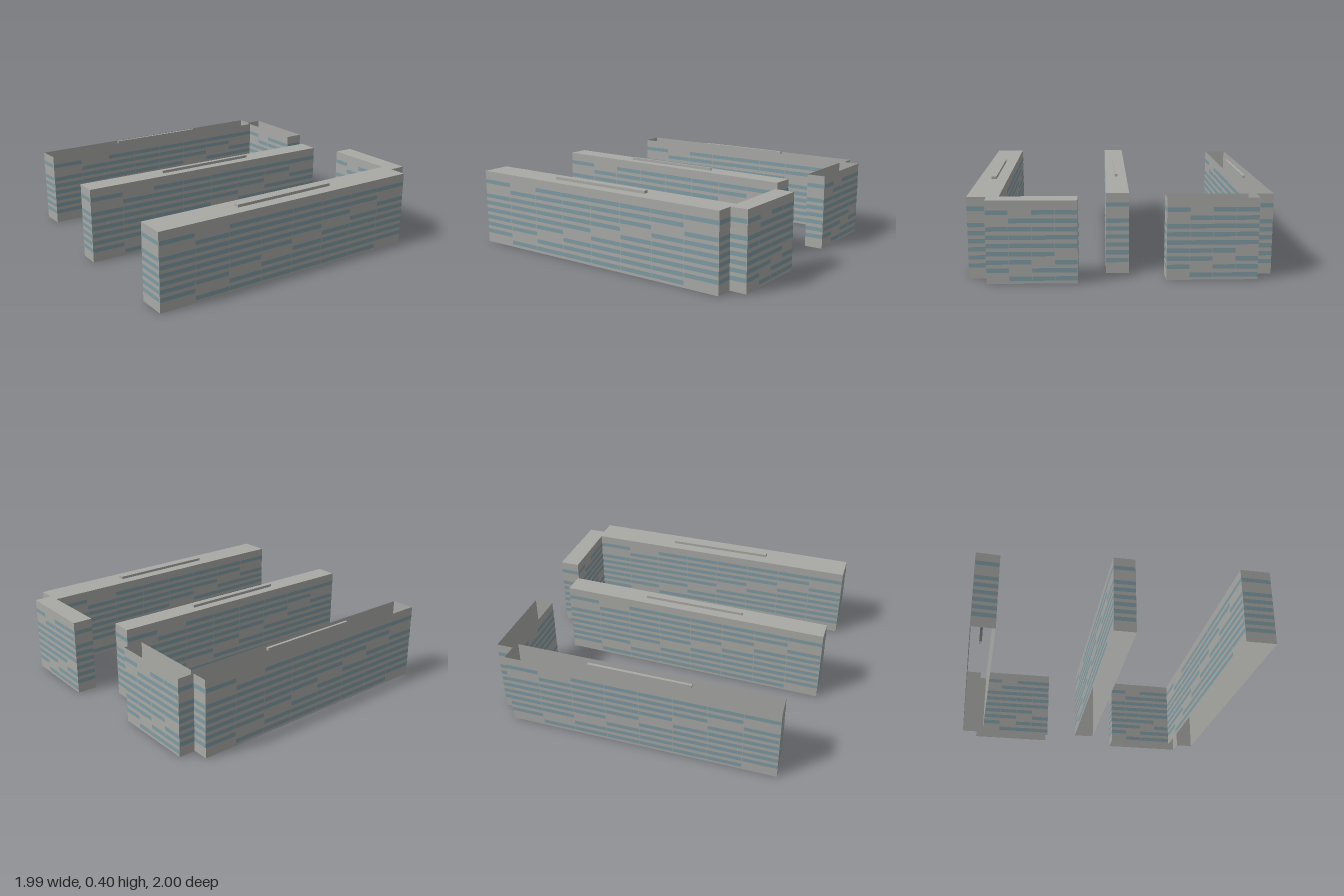
import * as THREE from 'three';
import { mergeGeometries } from 'three/addons/utils/BufferGeometryUtils.js';

const WALL_H = 0.39, BAR_H = 0.014, ROWS = 9, PITCH = 0.0388, STRIP_H = 0.021;

const concrete = new THREE.MeshStandardMaterial({ color: 0xa9a9a6, side: THREE.DoubleSide });
concrete.name = 'concrete';
const glass = new THREE.MeshStandardMaterial({ color: 0x809ba3 });
glass.name = 'window glass';

// Upright panel on the edge p-q: from fraction a to b along it, facing outward
function panel(p, q, a, b, y, h, out = 0) {
  const dx = q[0] - p[0], dz = q[1] - p[1], len = Math.hypot(dx, dz), m = (a + b) / 2;
  return new THREE.PlaneGeometry(len * (b - a), h)
    .rotateY(Math.atan2(-dz, dx))
    .translate(p[0] + dx * m - (dz / len) * out, y + h / 2, p[1] + dz * m + (dx / len) * out);
}

const edges = (pts) => pts.map((p, i) => [p, pts[(i + 1) % pts.length]]);

function named(name, geometry, material) {
  const mesh = new THREE.Mesh(geometry, material);
  mesh.name = name;
  return mesh;
}

// Open-bottomed shell around a footprint
const shell = (pts, y, h) => mergeGeometries(edges(pts).map(([p, q]) => panel(p, q, 0, 1, y, h)));

function slab(pts, y) {
  const shape = new THREE.Shape(pts.map(([x, z]) => new THREE.Vector2(x, -z)));
  return new THREE.ShapeGeometry(shape).rotateX(-Math.PI / 2).translate(0, y, 0);
}

// Rows of window strips, with one blank bay stepping diagonally up the wall
function windows(pts) {
  const strips = [];
  for (const [p, q] of edges(pts)) {
    const len = Math.hypot(q[0] - p[0], q[1] - p[1]);
    const cols = len > 1 ? 8 : len > 0.3 ? 4 : 1;
    for (let r = 0; r < ROWS; r++) {
      const y = 0.335 - r * PITCH - STRIP_H / 2;
      for (let c = 0; c < cols; c++) {
        if ((c + r) % 7 === 1) continue;
        strips.push(panel(p, q, (c + 0.008) / cols, (c + 0.992) / cols, y, STRIP_H, 0.0015));
      }
    }
  }
  return mergeGeometries(strips);
}

// Footprints as [x, z], running back left, front left, then round the right end
const blocks = [
  {
    name: 'frontBlock', roof: true,
    plan: [[-0.35, 0.87], [-0.265, 0.995], [0.968, 0.17], [0.917, 0.095],
      [0.99, 0.045], [0.76, -0.305], [0.675, -0.25], [0.88, 0.05]],
    bar: [[0.068, 0.665], [0.085, 0.69], [0.55, 0.372], [0.534, 0.35]],
  },
  {
    name: 'middleBlock', roof: true,
    plan: [[-0.7, 0.345], [-0.64, 0.435], [0.552, -0.325], [0.493, -0.418]],
    bar: [[-0.303, 0.152], [-0.295, 0.163], [0.153, -0.13], [0.146, -0.141]],
  },
  {
    name: 'backBlock', roof: false,
    plan: [[-1, -0.23], [-0.93, -0.137], [0.202, -0.896], [0.42, -0.57],
      [0.5, -0.625], [0.263, -0.98], [0.193, -0.932], [0.147, -1]],
    bar: [[-0.605, -0.432], [-0.597, -0.422], [-0.158, -0.712], [-0.166, -0.725]],
  },
];

export function createModel() {
  const model = new THREE.Group();
  model.name = 'apartmentBlocks';
  for (const { name, roof, plan, bar } of blocks) {
    const block = new THREE.Group();
    block.name = name;
    block.add(named('walls', shell(plan, 0, WALL_H), concrete));
    block.add(named('windowStrips', windows(plan), glass));
    if (roof) block.add(named('roof', slab(plan, WALL_H), concrete));
    // Narrow raised ridge along the roof
    block.add(named('roofRidge', mergeGeometries([
      shell(bar, WALL_H, BAR_H), slab(bar, WALL_H + BAR_H),
    ]), concrete));
    model.add(block);
  }
  return model;
}
